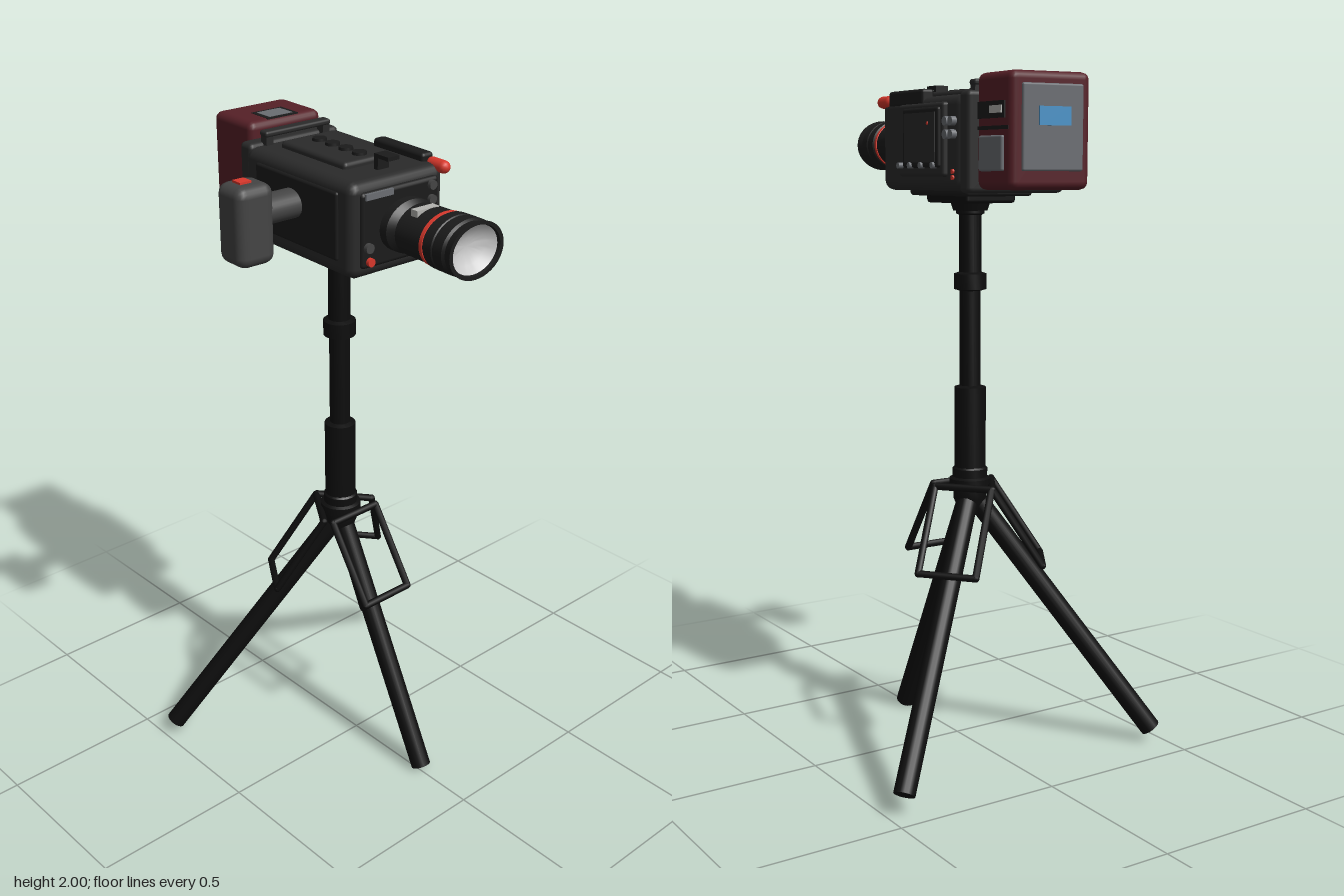
import * as THREE from 'three';
import { RoundedBoxGeometry } from 'three/addons/geometries/RoundedBoxGeometry.js';
import { toCreasedNormals } from 'three/addons/utils/BufferGeometryUtils.js';

const mat = (color) => new THREE.MeshStandardMaterial({ color });
const M = {
  tripod: mat(0x0d0d0d), body: mat(0x2a2a2a), dark: mat(0x1b1b1b), maroon: mat(0x562027),
  red: mat(0xd8382c), grey: mat(0x6a6d72), mid: mat(0x444444), pale: mat(0xb4b4b0), blue: mat(0x4a93c8),
};
M.glass = mat(0xcccccc);
M.glass.side = THREE.DoubleSide;

function add(parent, name, geometry, material, x = 0, y = 0, z = 0) {
  const mesh = new THREE.Mesh(geometry, material);
  mesh.name = name;
  mesh.position.set(x, y, z);
  parent.add(mesh);
  return mesh;
}

// Box given by its limits on each axis, with optional rounded edges
function box(parent, name, material, [x0, x1], [y0, y1], [z0, z1], r = 0) {
  const s = [x1 - x0, y1 - y0, z1 - z0];
  const g = r ? new RoundedBoxGeometry(...s, 2, r) : new THREE.BoxGeometry(...s);
  return add(parent, name, g, material, (x0 + x1) / 2, (y0 + y1) / 2, (z0 + z1) / 2);
}

// Round rod between two points
function rod(parent, name, material, a, b, r, sides = 16) {
  const dir = b.clone().sub(a);
  const mesh = add(parent, name, new THREE.CylinderGeometry(r, r, dir.length(), sides), material);
  mesh.position.copy(a).add(b).multiplyScalar(0.5);
  mesh.quaternion.setFromUnitVectors(new THREE.Vector3(0, 1, 0), dir.normalize());
  return mesh;
}

function lathe(points, sides = 40) {
  const g = new THREE.LatheGeometry(points.map(([r, y]) => new THREE.Vector2(r, y)), sides);
  return toCreasedNormals(g, 0.5);
}

// Lathe running along z, squashed a little in height
const lensLathe = (points) => lathe(points).rotateX(Math.PI / 2).scale(1, 0.82, 1);

function buildTripod() {
  const tripod = new THREE.Group();
  tripod.name = 'tripod';
  const hub = new THREE.Vector3(0.008, 0.79, -0.083);

  // Stepped column, clamp collar and hub
  add(tripod, 'column', lathe([
    [0, 0.72], [0.03, 0.72], [0.05, 0.77], [0.05, 0.8], [0.062, 0.805], [0.062, 0.83], [0.052, 0.835],
    [0.052, 0.86], [0.047, 0.865], [0.047, 1.105], [0.031, 1.11], [0.031, 1.39], [0.048, 1.395],
    [0.048, 1.44], [0.033, 1.445], [0.033, 1.61], [0.042, 1.615], [0.042, 1.65], [0, 1.65],
  ], 24), M.tripod, hub.x, 0, hub.z);
  box(tripod, 'mountPlate', M.tripod, [-0.08, 0.09], [1.645, 1.69], [-0.19, 0.03], 0.01);
  add(tripod, 'mountNeck', new THREE.CylinderGeometry(0.06, 0.05, 0.03, 24), M.tripod, hub.x, 1.638, hub.z);

  // Three legs, each with a rectangular brace loop beside it
  const feet = [[0.008, 0.013, 0.3], [0.455, 0.06, -0.44], [-0.46, 0.042, -0.386]];
  for (const f of feet) {
    const foot = new THREE.Vector3(...f);
    rod(tripod, 'leg', M.tripod, hub, foot, 0.031);
    const out = new THREE.Vector3(foot.x - hub.x, 0, foot.z - hub.z).normalize();
    const side = new THREE.Vector3(-out.z, 0, out.x);
    const corner = (r, y, s) => hub.clone().setY(y).addScaledVector(out, r).addScaledVector(side, s);
    const loop = [corner(0.065, 0.81, -0.088), corner(0.065, 0.81, 0.088),
      corner(0.215, 0.58, 0.088), corner(0.215, 0.58, -0.088)];
    loop.forEach((p, i) => {
      rod(tripod, 'braceBar', M.tripod, p, loop[(i + 1) % 4], 0.011, 8);
      add(tripod, 'braceCorner', new THREE.SphereGeometry(0.011, 8, 6), M.tripod, p.x, p.y, p.z);
    });
  }
  return tripod;
}

function buildBody(cam) {
  box(cam, 'body', M.body, [-0.163, 0.163], [1.68, 1.945], [-0.28, 0.195], 0.03);
  box(cam, 'rearFlange', M.body, [-0.158, 0.158], [1.675, 1.953], [-0.31, -0.255], 0.015);
  box(cam, 'frontPlate', M.dark, [-0.135, 0.135], [1.71, 1.92], [0.18, 0.205], 0.012);
  box(cam, 'frontDisplay', M.grey, [-0.125, -0.03], [1.9, 1.917], [0.19, 0.209]);
  box(cam, 'basePlate', M.dark, [-0.11, 0.11], [1.665, 1.69], [-0.22, 0.12], 0.01);
  box(cam, 'frontFoot', M.dark, [-0.12, -0.03], [1.665, 1.7], [0.1, 0.15], 0.01);

  // Front knobs
  for (const [x, y, r, m] of [[0.105, 1.9, 0.013, M.mid], [0.105, 1.86, 0.013, M.mid],
    [0.105, 1.82, 0.013, M.mid], [-0.115, 1.77, 0.014, M.mid], [-0.11, 1.73, 0.012, M.red]])
    add(cam, 'frontKnob', new THREE.CylinderGeometry(r, r, 0.02, 16).rotateX(Math.PI / 2), m, x, y, 0.206);

  // Top panel with four buttons, rear handle bar, front hook
  box(cam, 'topPanel', M.body, [-0.088, 0.088], [1.93, 1.963], [-0.21, 0.075], 0.012);
  for (let i = 0; i < 4; i++)
    add(cam, 'topButton', new THREE.CylinderGeometry(0.02, 0.021, 0.012, 20), M.dark, 0, 1.965, -0.145 + i * 0.058);
  box(cam, 'topBar', M.body, [-0.115, 0.115], [1.968, 1.985], [-0.272, -0.238], 0.007);
  for (const s of [-1, 1])
    box(cam, 'topBarPost', M.body, [s * 0.1 - 0.012, s * 0.1 + 0.012], [1.93, 1.975], [-0.268, -0.242]);
  box(cam, 'hookPost', M.dark, [-0.02, 0.02], [1.93, 1.985], [0.115, 0.13]);
  box(cam, 'hookTop', M.dark, [-0.02, 0.02], [1.977, 1.988], [0.115, 0.172]);

  // Side rail ending in the red lamp
  box(cam, 'sideRail', M.dark, [0.122, 0.163], [1.92, 1.967], [-0.06, 0.15], 0.01);
  add(cam, 'redLamp', new THREE.CapsuleGeometry(0.018, 0.045, 4, 16).rotateX(Math.PI / 2), M.red, 0.152, 1.938, 0.18);

  // Left side: screen, knobs and buttons
  box(cam, 'sidePanel', M.body, [0.15, 0.178], [1.72, 1.925], [-0.205, 0.06], 0.01);
  box(cam, 'screenFrame', M.dark, [0.16, 0.187], [1.745, 1.912], [-0.19, 0.02], 0.008);
  box(cam, 'screen', M.body, [0.17, 0.189], [1.76, 1.898], [-0.175, 0.005]);
  const stud = (name, m, y, z, r, x) =>
    add(cam, name, new THREE.CylinderGeometry(r, r, 0.02, 14).rotateZ(Math.PI / 2), m, x, y, z);
  for (const z of [-0.21, -0.242]) for (const y of [1.872, 1.836]) stud('sideKnob', M.grey, y, z, 0.013, 0.168);
  for (const z of [-0.165, -0.095, -0.03, 0.035]) stud('sideButton', M.grey, 1.752, z, 0.009, 0.184);
  for (const y of [1.735, 1.718]) stud('sideLight', M.red, y, -0.235, 0.007, 0.158);
  stud('screenLight', M.red, 1.868, -0.135, 0.005, 0.181);

  // Right side cover
  box(cam, 'rightCover', M.dark, [-0.17, -0.15], [1.725, 1.915], [-0.22, 0.14], 0.008);
}

function buildLens(cam) {
  const lens = new THREE.Group();
  lens.name = 'lens';
  lens.position.y = 1.817;
  cam.add(lens);
  add(lens, 'lensMount', lensLathe([[0.07, 0.18], [0.07, 0.225], [0, 0.225]]), M.grey);
  add(lens, 'barrel', lensLathe([
    [0, 0.222], [0.09, 0.222], [0.09, 0.248], [0.068, 0.266], [0.068, 0.276], [0.086, 0.278], [0.088, 0.378],
    [0.088, 0.392], [0.093, 0.395], [0.094, 0.425], [0.091, 0.428], [0.091, 0.432], [0.094, 0.435],
    [0.094, 0.465], [0.088, 0.472], [0.095, 0.497], [0.083, 0.497], [0.08, 0.485],
  ]), M.dark);
  add(lens, 'redRing', lensLathe([[0.085, 0.375], [0.0905, 0.376], [0.0905, 0.387], [0.085, 0.388]]), M.red);
  add(lens, 'glass', lensLathe([[0, 0.455], [0.03, 0.459], [0.058, 0.469], [0.083, 0.49]]), M.glass);
  box(lens, 'scaleWindow', M.pale, [-0.055, 0.02], [0.05, 0.073], [0.305, 0.33]);
}

function buildBattery(cam) {
  box(cam, 'batteryBlock', M.maroon, [-0.125, 0.128], [1.685, 1.998], [-0.483, -0.298], 0.022);

  // Back panel with blue display
  box(cam, 'backPanel', M.grey, [-0.095, 0.098], [1.735, 1.965], [-0.492, -0.47], 0.006);
  box(cam, 'backDisplay', M.blue, [-0.05, 0.05], [1.855, 1.905], [-0.497, -0.48]);

  // Framed window on top
  box(cam, 'topWindowFrame', M.dark, [-0.056, 0.052], [1.98, 1.999], [-0.392, -0.31]);
  box(cam, 'topWindow', M.grey, [-0.043, 0.039], [1.985, 2.0], [-0.382, -0.32]);

  // Side panels and latch
  box(cam, 'sideSlot', M.dark, [0.11, 0.132], [1.875, 1.92], [-0.45, -0.315]);
  box(cam, 'sideLabel', M.pale, [0.12, 0.136], [1.888, 1.908], [-0.44, -0.38]);
  box(cam, 'sidePlate', M.grey, [0.11, 0.137], [1.735, 1.83], [-0.445, -0.325], 0.006);
  box(cam, 'sideGroove', M.dark, [0.11, 0.1295], [1.845, 1.855], [-0.465, -0.31]);
}

function buildGrip(cam) {
  add(cam, 'gripArm', new THREE.CylinderGeometry(0.048, 0.048, 0.15, 28).rotateZ(Math.PI / 2).scale(1, 0.85, 1),
    M.mid, -0.21, 1.84, -0.055);
  box(cam, 'grip', M.mid, [-0.378, -0.258], [1.702, 1.926], [-0.118, -0.002], 0.03);
  box(cam, 'gripButton', M.red, [-0.345, -0.308], [1.915, 1.932], [-0.08, -0.044]);
  for (let i = 0; i < 3; i++)
    box(cam, 'gripRib', M.dark, [-0.355, -0.281], [1.75 + i * 0.05, 1.78 + i * 0.05], [-0.123, -0.1], 0.008);
}

export function createModel() {
  const model = new THREE.Group();
  model.name = 'cameraOnTripod';
  model.add(buildTripod());

  // Camera head, turned slightly on its mount
  const cam = new THREE.Group();
  cam.name = 'camera';
  cam.position.x = -0.0145;
  cam.rotation.y = -0.048;
  model.add(cam);
  buildBody(cam);
  buildLens(cam);
  buildBattery(cam);
  buildGrip(cam);
  return model;
}
